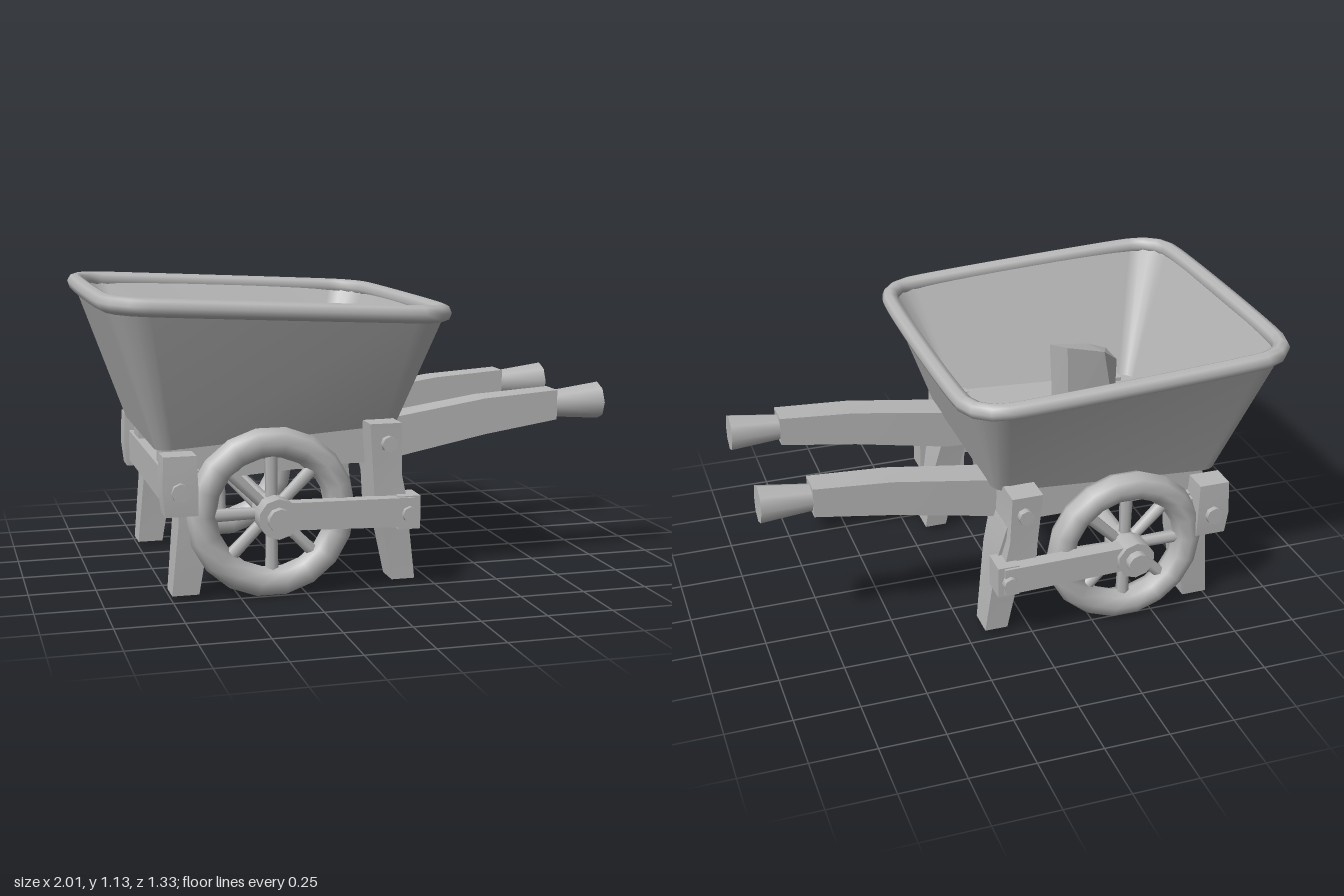
import * as THREE from 'three';
import { ConvexGeometry } from 'three/addons/geometries/ConvexGeometry.js';

const grey = new THREE.MeshStandardMaterial({ color: 0xb8b8b8, side: THREE.DoubleSide });
grey.name = 'plain grey';

function add(parent, name, geo, x = 0, y = 0, z = 0) {
  const m = new THREE.Mesh(geo, grey);
  m.name = name;
  m.position.set(x, y, z);
  parent.add(m);
  return m;
}

// Block given by its min and max corner
function block(parent, name, [x0, y0, z0], [x1, y1, z1]) {
  const g = new THREE.BoxGeometry(Math.abs(x1 - x0), Math.abs(y1 - y0), Math.abs(z1 - z0));
  return add(parent, name, g, (x0 + x1) / 2, (y0 + y1) / 2, (z0 + z1) / 2);
}

// Square bar through sections [x, y, z, halfA, halfB]; runs along x or y
function bar(parent, name, axis, sections) {
  const n = sections.length - 1, alongX = axis === 'x';
  const g = new THREE.BoxGeometry(1, 1, 1, alongX ? n : 1, alongX ? 1 : n, 1);
  const p = g.attributes.position;
  for (let i = 0; i < p.count; i++) {
    const t = alongX ? p.getX(i) : p.getY(i), c = alongX ? p.getY(i) : p.getX(i);
    const [x, y, z, a, b] = sections[Math.round((t + 0.5) * n)];
    const off = 2 * c * a;
    p.setXYZ(i, alongX ? x : x + off, alongX ? y + off : y, z + 2 * p.getZ(i) * b);
  }
  g.computeVertexNormals();
  return add(parent, name, g);
}

// Cylinder lying along z
function pin(parent, name, r0, r1, len, x, y, z, sides = 10) {
  return add(parent, name, new THREE.CylinderGeometry(r1, r0, len, sides).rotateX(Math.PI / 2), x, y, z);
}

// Rounded rectangle ring, its height running from yL at x0 to yR at x1
function ring(x0, x1, zh, r, yL, yR) {
  const pts = [], K = 4;
  const corners = [[x1 - r, zh - r], [x0 + r, zh - r], [x0 + r, -zh + r], [x1 - r, -zh + r]];
  corners.forEach(([cx, cz], q) => {
    for (let k = 0; k <= K; k++) {
      const a = (q + k / K) * Math.PI / 2;
      const x = cx + r * Math.cos(a);
      pts.push(new THREE.Vector3(x, yL + (yR - yL) * (x - x0) / (x1 - x0), cz + r * Math.sin(a)));
    }
  });
  return pts;
}

// Smooth wall between two rings; flip turns it inward
function wall(lo, hi, flip) {
  const n = lo.length, idx = [];
  for (let i = 0; i < n; i++) {
    const j = (i + 1) % n;
    const f = [i, n + i, j, j, n + i, n + j];
    idx.push(...(flip ? f.reverse() : f));
  }
  const g = new THREE.BufferGeometry().setFromPoints([...lo, ...hi]);
  g.setIndex(idx);
  g.computeVertexNormals();
  return g;
}

// Flat fan closing a ring
function cap(pts, up) {
  const idx = [];
  for (let i = 1; i < pts.length - 1; i++) idx.push(0, up ? i + 1 : i, up ? i : i + 1);
  const g = new THREE.BufferGeometry().setFromPoints(pts);
  g.setIndex(idx);
  g.computeVertexNormals();
  return g;
}

function addTub(root) {
  const tub = new THREE.Group();
  tub.name = 'tub';
  root.add(tub);
  const outLo = ring(-0.79, 0.13, 0.43, 0.06, 0.56, 0.62);
  const outHi = ring(-0.975, 0.275, 0.625, 0.14, 1.1, 1.04);
  const inLo = ring(-0.76, 0.07, 0.4, 0.05, 0.6, 0.645);
  const inHi = ring(-0.945, 0.25, 0.6, 0.12, 1.1, 1.04);
  add(tub, 'tubOuterWall', wall(outLo, outHi, false));
  add(tub, 'tubInnerWall', wall(inLo, inHi, true));
  add(tub, 'tubUnderside', cap(outLo, false));
  add(tub, 'tubFloor', cap(inLo, true));
  // Rolled rim
  const path = new THREE.CatmullRomCurve3(ring(-0.968, 0.27, 0.622, 0.14, 1.108, 1.045), true, 'centripetal');
  add(tub, 'tubRim', new THREE.TubeGeometry(path, 72, 0.033, 8, true));
  // Lump of load inside the tub
  const lump = [[-0.56, 0.6, 0.08], [-0.36, 0.6, 0.08], [-0.34, 0.6, 0.22], [-0.56, 0.6, 0.22],
    [-0.58, 0.82, 0.12], [-0.58, 0.82, 0.24], [-0.5, 0.89, 0.06], [-0.34, 0.93, 0.06],
    [-0.34, 0.86, 0.26], [-0.5, 0.85, 0.24]];
  add(tub, 'lump', new ConvexGeometry(lump.map(v => new THREE.Vector3(...v))));
}

function addWheel(root, s) {
  const wheel = new THREE.Group();
  wheel.name = s > 0 ? 'frontWheel' : 'backWheel';
  wheel.position.set(-0.38, 0.325, 0.485 * s);
  root.add(wheel);
  add(wheel, 'wheelRim', new THREE.TorusGeometry(0.262, 0.057, 8, 18));
  for (let i = 0; i < 8; i++) {
    const a = i * Math.PI / 4;
    const spoke = add(wheel, 'spoke', new THREE.CylinderGeometry(0.026, 0.022, 0.2, 6),
      -Math.sin(a) * 0.13, Math.cos(a) * 0.13, 0);
    spoke.rotation.z = a;
  }
  pin(wheel, 'hub', 0.065, 0.065, 0.1, 0, 0, 0);
}

function addSide(root, s) {
  // Handle running under the tub, with a flared grip
  const hz = 0.295 * s;
  bar(root, 'handle', 'x', [[-0.76, 0.49, hz, 0.07, 0.065], [-0.1, 0.54, hz, 0.075, 0.065],
    [0.12, 0.555, hz, 0.078, 0.065], [0.5, 0.62, hz, 0.07, 0.06], [0.8, 0.652, hz, 0.058, 0.055]]);
  const grip = new THREE.CylinderGeometry(0.073, 0.05, 0.22, 8).rotateZ(-Math.PI / 2);
  add(root, 'grip', grip, 0.885, 0.652, hz).rotation.z = 0.03;

  // Splayed legs
  bar(root, 'rearLeg', 'y', [[0.135, 0.03, 0.41 * s, 0.045, 0.055], [0.085, 0.35, 0.4 * s, 0.055, 0.08],
    [0.05, 0.5, 0.4 * s, 0.055, 0.1]]);
  bar(root, 'foreLeg', 'y', [[-0.7, 0.03, 0.42 * s, 0.05, 0.055], [-0.665, 0.3, 0.42 * s, 0.06, 0.07],
    [-0.66, 0.48, 0.41 * s, 0.06, 0.08]]);

  // Post beside the tub, with a bolt
  bar(root, 'post', 'y', [[0.075, 0.26, 0.45 * s, 0.07, 0.085], [0.05, 0.45, 0.45 * s, 0.055, 0.085],
    [0.04, 0.645, 0.455 * s, 0.06, 0.09]]);
  pin(root, 'postBolt', 0.03, 0.03, 0.04, 0.05, 0.57, 0.55 * s, 8);

  // Side rail holding the axle end
  bar(root, 'sideRail', 'x', [[-0.4, 0.33, 0.565 * s, 0.05, 0.028], [0.14, 0.315, 0.555 * s, 0.055, 0.03]]);
  block(root, 'railBlock', [0.08, 0.25, 0.47 * s], [0.165, 0.375, 0.575 * s]);
  pin(root, 'railBolt', 0.03, 0.03, 0.04, 0.12, 0.31, 0.585 * s, 8);
  pin(root, 'axleEnd', 0.075, 0.075, 0.08, -0.38, 0.325, 0.57 * s);
  pin(root, 'axleCap', 0.045, 0.045, 0.04, -0.38, 0.325, 0.625 * s);

  // Blocks at the ends of the cross beam
  bar(root, 'beamEnd', 'y', [[-0.72, 0.34, 0.49 * s, 0.06, 0.05], [-0.725, 0.43, 0.49 * s, 0.065, 0.055],
    [-0.725, 0.56, 0.49 * s, 0.06, 0.05]]);
  pin(root, 'beamBolt', 0.035, 0.035, 0.04, -0.725, 0.43, 0.545 * s, 8);
  block(root, 'sideSupport', [-0.7, 0.48, 0.34 * s], [0.02, 0.62, 0.43 * s]);
  addWheel(root, s);
}

export function createModel() {
  const root = new THREE.Group();
  root.name = 'wheelbarrow';
  addTub(root);
  block(root, 'crossBeam', [-0.77, 0.365, -0.46], [-0.64, 0.49, 0.46]);
  pin(root, 'axle', 0.04, 0.04, 1.12, -0.38, 0.325, 0);
  for (const s of [1, -1]) addSide(root, s);
  return root;
}
